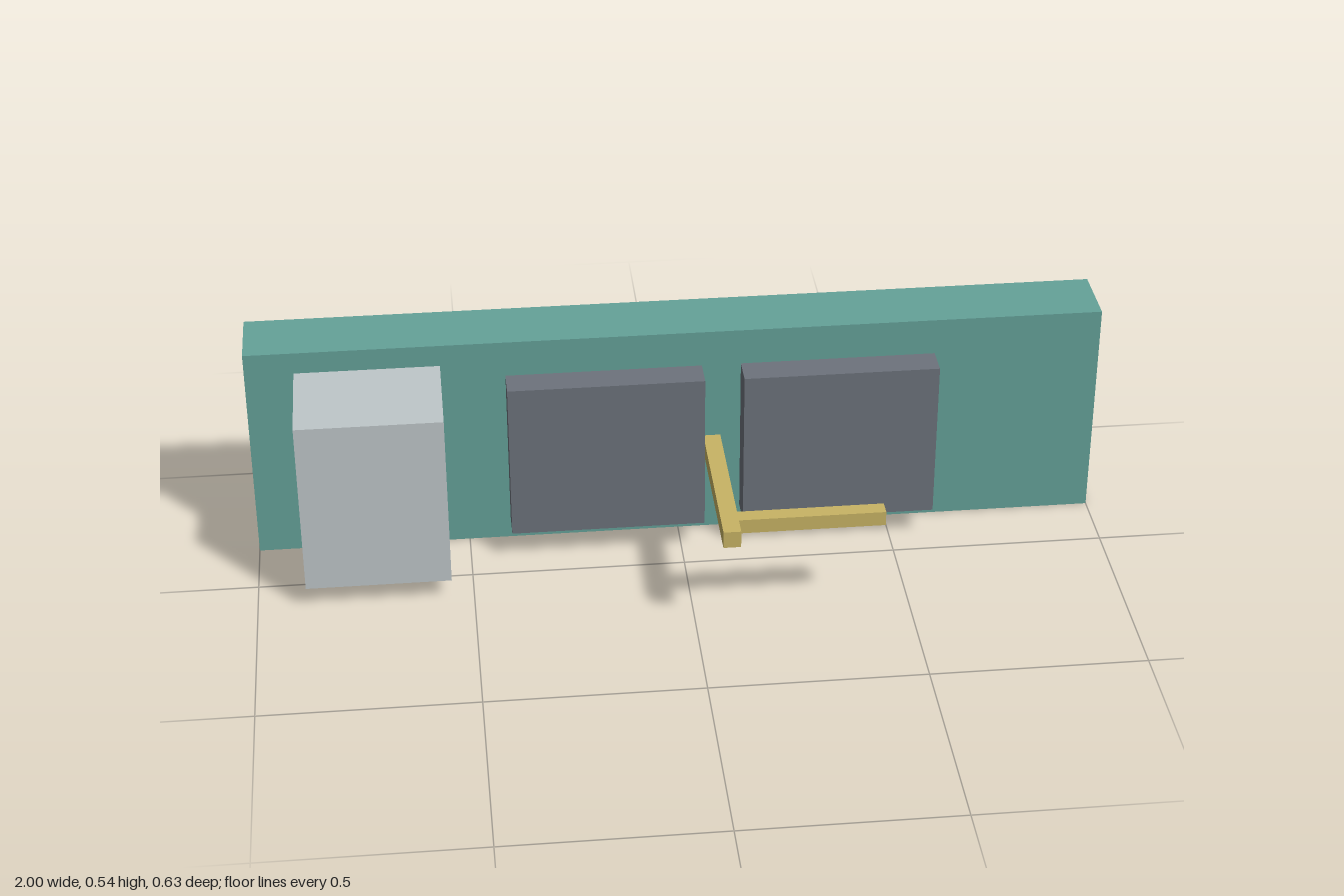
import * as THREE from 'three';

const flat = (name, color) => {
  const m = new THREE.MeshStandardMaterial({ color });
  m.name = name;
  return m;
};

export function createModel() {
  const group = new THREE.Group();
  group.name = 'wallPanelAssembly';

  const teal = flat('teal', 0x65a299);
  const paleGrey = flat('paleGrey', 0xbfc7c9);
  const slate = flat('slate', 0x6d737c);
  const brass = flat('brass', 0xc8b465);

  // Box given by its [min, max] extent along each axis
  const block = (name, material, x, y, z) => {
    const size = [x, y, z].map(([a, b]) => b - a);
    const mesh = new THREE.Mesh(new THREE.BoxGeometry(...size), material);
    mesh.position.set(...[x, y, z].map(([a, b]) => (a + b) / 2));
    mesh.name = name;
    group.add(mesh);
  };

  // Long backing slab
  block('backSlab', teal, [-1, 1], [0, 0.535], [-0.314, -0.154]);

  // Protruding cabinet on the right end
  block('cabinet', paleGrey, [-0.887, -0.551], [0.053, 0.482], [-0.154, 0.096]);

  // Pair of panels floating just in front of the slab
  for (const [name, x] of [['rightPanel', -0.402], ['leftPanel', 0.145]]) {
    block(name, slate, [x, x + 0.456], [0.073, 0.463], [-0.126, -0.054]);
  }

  // L-shaped handle: forward arm and sideways grip
  block('handleArm', brass, [0.055, 0.095], [0.247, 0.288], [-0.1, 0.314]);
  block('handleGrip', brass, [0.095, 0.43], [0.25, 0.285], [0.228, 0.264]);

  return group;
}
